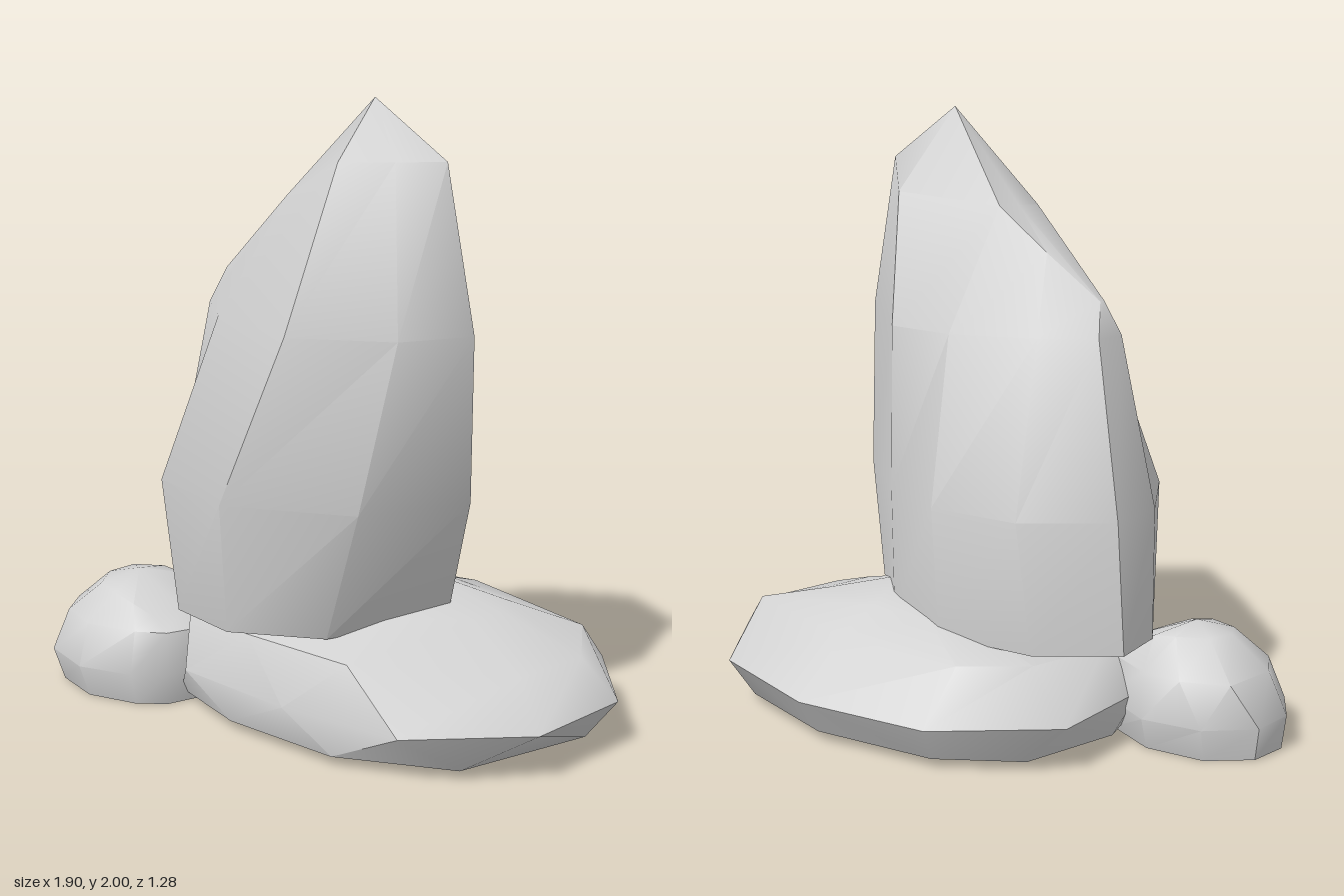
import * as THREE from 'three';
import { toCreasedNormals } from 'three/addons/utils/BufferGeometryUtils.js';

const stone = new THREE.MeshStandardMaterial({ color: 0xd3d3d3 });
stone.name = 'grey stone';

// Place a ring of [x, z] points at one height
const level = (y, points) => points.map(([x, z]) => [x, y, z]);

// Skin a stack of rings (bottom to top) and close it with a flat base and an apex
function rock(name, rings, apex) {
  const pos = [];
  const tri = (...corners) => corners.forEach((c) => pos.push(...c));
  const n = rings[0].length;
  const base = [0, 1, 2].map((k) => rings[0].reduce((s, p) => s + p[k], 0) / n);
  for (let i = 0; i < n; i++) {
    const j = (i + 1) % n;
    tri(base, rings[0][i], rings[0][j]);
    for (let r = 0; r < rings.length - 1; r++) {
      const a = rings[r], b = rings[r + 1];
      tri(a[i], b[i], a[j]);
      tri(a[j], b[i], b[j]);
    }
    const top = rings[rings.length - 1];
    tri(apex, top[j], top[i]);
  }
  const geo = new THREE.BufferGeometry();
  geo.setAttribute('position', new THREE.Float32BufferAttribute(pos, 3));
  const mesh = new THREE.Mesh(toCreasedNormals(geo, 0.7), stone);
  mesh.name = name;
  return mesh;
}

export function createModel() {
  const group = new THREE.Group();
  group.name = 'rockCluster';

  // Tall leaning rock: the last ring gathers into a peak and a slanted top facet
  const peak = [0.24, 2, 0.13];
  const facet = [[-0.04, 1.69, 0.23], [-0.41, 1.42, 0.14], [-0.41, 1.42, 0.12], [-0.22, 1.56, 0.08], [-0.06, 1.7, 0.03]];
  group.add(rock('tallRock', [
    level(0.34, [[0.39, -0.06], [0.26, 0.37], [-0.02, 0.53], [-0.3, 0.48], [-0.58, 0.2],
      [-0.63, 0], [-0.42, -0.2], [-0.07, -0.26], [0.2, -0.2]]),
    level(0.77, [[0.56, 0.04], [0.42, 0.4], [0.02, 0.595], [-0.36, 0.49], [-0.58, 0.2],
      [-0.615, -0.02], [-0.39, -0.24], [-0.07, -0.29], [0.21, -0.2]]),
    level(1.31, [[0.64, 0.13], [0.54, 0.36], [0.24, 0.53], [-0.2, 0.38], [-0.44, 0.19],
      [-0.45, 0.07], [-0.3, -0.05], [-0.04, -0.18], [0.21, -0.19]]),
    [[0.53, 1.82, 0.13], [0.43, 1.82, 0.25], [0.3, 1.82, 0.36], ...facet, [0.3, 1.73, -0.07]],
    [peak, peak, peak, ...facet, peak],
  ], [-0.05, 1.695, 0.13]));

  // Wide flat rock lying beneath and behind
  const shoulder = [[0.8, 0.27, 0.08], [0.41, 0.31, 0.44], [0, 0.32, 0.46], [-0.32, 0.31, 0.41], [-0.43, 0.29, 0.14],
    [-0.43, 0.31, -0.2], [-0.28, 0.32, -0.39], [0.18, 0.33, -0.46], [0.72, 0.32, -0.34], [0.82, 0.27, -0.2]];
  const crown = [0.24, 0.45, -0.12];
  group.add(rock('flatRock', [
    level(0.03, [[0.87, -0.16], [0.76, 0.32], [0.4, 0.5], [-0.04, 0.5], [-0.38, 0.4], [-0.52, 0.08],
      [-0.48, -0.28], [-0.25, -0.47], [0.18, -0.56], [0.6, -0.48]]),
    level(0.15, [[0.95, 0.18], [0.66, 0.49], [0.22, 0.53], [-0.25, 0.5], [-0.53, 0.2],
      [-0.59, -0.22], [-0.29, -0.54], [0.18, -0.64], [0.66, -0.54], [0.95, -0.22]]),
    shoulder,
    shoulder.map(([x, y, z]) => [(x + crown[0]) / 2, y * 0.35 + crown[1] * 0.6, (z + crown[2]) / 2]),
  ], crown));

  // Small round rock beside the front
  group.add(rock('smallRock', [
    level(0, [[-0.33, 0.36], [-0.36, 0.48], [-0.44, 0.55], [-0.62, 0.6], [-0.81, 0.55],
      [-0.93, 0.43], [-0.93, 0.29], [-0.82, 0.17], [-0.62, 0.13], [-0.42, 0.2]]),
    level(0.11, [[-0.3, 0.36], [-0.34, 0.5], [-0.43, 0.58], [-0.62, 0.64], [-0.83, 0.58],
      [-0.94, 0.44], [-0.95, 0.28], [-0.83, 0.14], [-0.63, 0.09], [-0.4, 0.18]]),
    level(0.25, [[-0.31, 0.36], [-0.35, 0.49], [-0.44, 0.55], [-0.62, 0.6], [-0.79, 0.54],
      [-0.88, 0.42], [-0.88, 0.22], [-0.74, 0.14], [-0.6, 0.13], [-0.42, 0.2]]),
    [[-0.42, 0.29, 0.36], [-0.43, 0.29, 0.48], [-0.5, 0.32, 0.5], [-0.59, 0.34, 0.5], [-0.7, 0.345, 0.47],
      [-0.76, 0.355, 0.38], [-0.75, 0.36, 0.28], [-0.66, 0.36, 0.22], [-0.58, 0.35, 0.21], [-0.48, 0.31, 0.26]],
  ], [-0.64, 0.385, 0.35]));

  return group;
}
